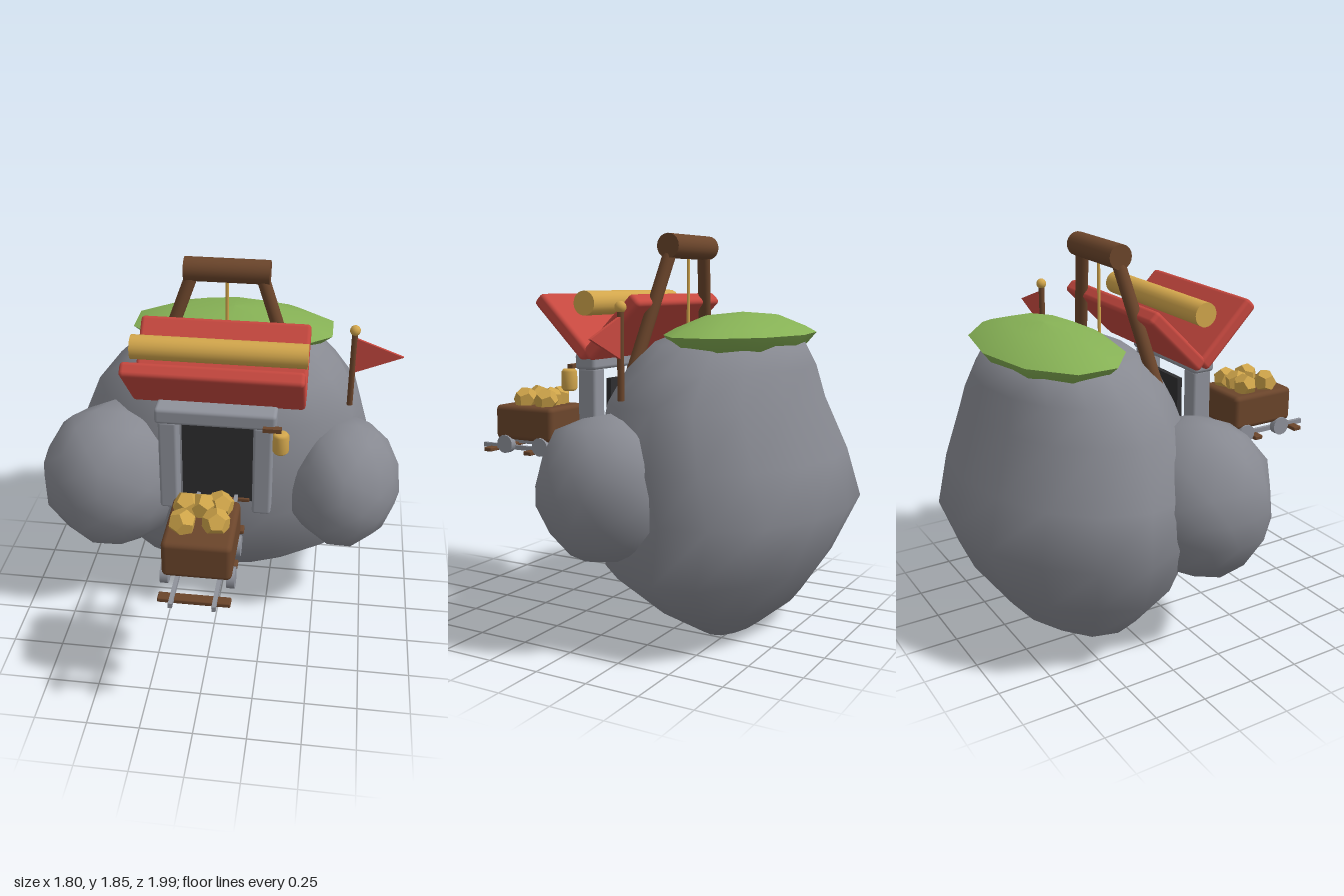
import * as THREE from 'three';
import { mergeVertices } from 'three/addons/utils/BufferGeometryUtils.js';
import { RoundedBoxGeometry } from 'three/addons/geometries/RoundedBoxGeometry.js';

const paint = (name, color, extra = {}) => {
  const m = new THREE.MeshStandardMaterial({ color, ...extra });
  m.name = name;
  return m;
};

export function createModel() {
  const model = new THREE.Group();
  model.name = 'mineRock';
  const rock = paint('rock grey', 0x878991);
  const stone = paint('stone grey', 0x8f929b);
  const wood = paint('wood brown', 0x6b452b);
  const gold = paint('gold', 0xd2a64c);
  const nuggetGold = paint('nugget gold', 0xcda349, { flatShading: true });
  const red = paint('red', 0xc6483f);
  const flagRed = paint('flag red', 0xc6483f, { side: THREE.DoubleSide });
  const green = paint('grass green', 0x86b155);
  const dark = paint('dark opening', 0x2e2e30);

  const add = (name, geo, mat, x = 0, y = 0, z = 0, parent = model) => {
    const mesh = new THREE.Mesh(geo, mat);
    mesh.name = name;
    mesh.position.set(x, y, z);
    parent.add(mesh);
    return mesh;
  };
  const rbox = (w, h, d, r) => new RoundedBoxGeometry(w, h, d, 2, r);
  // Round bar between two points
  const bar = (name, a, b, r, mat, sides = 14) => {
    const p = new THREE.Vector3(...a), q = new THREE.Vector3(...b);
    const mesh = add(name, new THREE.CylinderGeometry(r, r, p.distanceTo(q), sides), mat);
    mesh.position.copy(p).add(q).multiplyScalar(0.5);
    mesh.quaternion.setFromUnitVectors(new THREE.Vector3(0, 1, 0), q.sub(p).normalize());
    return mesh;
  };
  const bump = (a, b, c) => Math.sin(a * 5.1 + b * 3.7 + 1) * Math.sin(b * 4.3 - c * 5.9 + 2);

  // Main rock: elliptical rings [y, left, right, back, front] joined from bottom to top
  const rings = [
    [0.03, -0.02, 0.0, -0.45, -0.43], [0.01, -0.27, 0.24, -0.56, -0.32],
    [0.14, -0.53, 0.45, -0.72, -0.10], [0.36, -0.71, 0.73, -0.88, 0.09],
    [0.62, -0.83, 0.74, -0.99, 0.145], [0.85, -0.79, 0.74, -0.93, 0.145],
    [1.10, -0.67, 0.68, -0.83, 0.10], [1.25, -0.57, 0.57, -0.79, 0.02],
    [1.36, -0.45, 0.46, -0.74, -0.08], [1.43, -0.25, 0.27, -0.6, -0.25],
    [1.45, -0.01, 0.01, -0.44, -0.42],
  ];
  const sides = 16, pos = [], index = [];
  rings.forEach(([y, x0, x1, z0, z1], i) => {
    for (let j = 0; j < sides; j++) {
      const t = (j / sides) * Math.PI * 2, c = Math.cos(t), s = Math.sin(t);
      const k = 1 + 0.035 * bump(c, y * 2, s) * Math.abs(c);
      pos.push((x0 + x1) / 2 + (x1 - x0) / 2 * c * k, y, (z0 + z1) / 2 + (z1 - z0) / 2 * s * k);
      if (i === rings.length - 1) continue;
      const a = i * sides + j, b = i * sides + (j + 1) % sides;
      index.push(a, a + sides, b, b, a + sides, b + sides);
    }
  });
  const body = new THREE.BufferGeometry();
  body.setAttribute('position', new THREE.Float32BufferAttribute(pos, 3));
  body.setIndex(index);
  body.computeVertexNormals();
  add('mainRock', body, rock);

  // Side boulders
  const boulder = (name, x, y, z, rx, ry, rz) => {
    let g = new THREE.IcosahedronGeometry(1, 2);
    g.deleteAttribute('normal');
    g.deleteAttribute('uv');
    g = mergeVertices(g, 1e-4);
    const p = g.attributes.position;
    for (let i = 0; i < p.count; i++) {
      const k = 1 + 0.04 * bump(p.getX(i) + x, p.getY(i), p.getZ(i));
      p.setXYZ(i, p.getX(i) * rx * k, p.getY(i) * ry * k, p.getZ(i) * rz * k);
    }
    g.computeVertexNormals();
    add(name, g, rock, x, y, z);
  };
  boulder('rightBoulder', -0.55, 0.745, 0.0, 0.36, 0.375, 0.34);
  boulder('leftBoulder', 0.615, 0.735, -0.1, 0.285, 0.335, 0.325);

  // Grass cap: domed top and tapering underside
  const lathe = (pts, n) => new THREE.LatheGeometry(pts.map(p => new THREE.Vector2(...p)), n);
  const top = [[0.53, 1.40], [0.45, 1.43], [0.25, 1.485], [0, 1.5]];
  const under = [[0, 1.32], [0.43, 1.325], [0.53, 1.40]];
  for (const [name, pts] of [['grassTop', top], ['grassUnderside', under]]) {
    add(name, lathe(pts, 10), green, 0.01, 0, -0.475).scale.z = 0.575;
  }

  // Mine entrance
  for (const x of [-0.215, 0.23]) add('doorPillar', rbox(0.09, 0.48, 0.1, 0.015), stone, x, 0.99, 0.22);
  add('doorLintel', rbox(0.565, 0.08, 0.115, 0.018), stone, 0.008, 1.26, 0.22);
  add('darkOpening', new THREE.BoxGeometry(0.345, 0.425, 0.025), dark, 0.008, 0.963, 0.153);

  // V-shaped roof and its ridge roll
  const roof = rbox(0.81, 0.07, 0.38, 0.02);
  add('frontRoofPanel', roof, red, 0.01, 1.43, 0.265).rotation.x = -Math.PI / 4;
  add('backRoofPanel', roof, red, 0.01, 1.43, -0.005).rotation.x = Math.PI / 4;
  bar('roofRoll', [-0.395, 1.54, 0.135], [0.415, 1.54, 0.135], 0.057, gold, 20);

  // Hoist
  bar('hoistBeam', [-0.195, 1.8, -0.19], [0.21, 1.8, -0.19], 0.057, wood, 20);
  for (const s of [-1, 1]) {
    bar('hoistLeg', [0.008 + s * 0.165, 1.78, -0.185], [0.008 + s * 0.385, 1.17, -0.09], 0.031, wood);
  }
  bar('hoistRope', [0.008, 1.4, -0.19], [0.008, 1.78, -0.19], 0.008, gold, 8);

  // Flag
  bar('flagPole', [0.62, 1.13, -0.19], [0.62, 1.52, -0.19], 0.015, wood, 10);
  add('flagKnob', new THREE.SphereGeometry(0.026, 12, 8), gold, 0.62, 1.53, -0.19);
  const pennant = new THREE.Shape([[0.63, 1.31], [0.86, 1.405], [0.63, 1.49]].map(p => new THREE.Vector2(...p)));
  add('flag', new THREE.ExtrudeGeometry(pennant, { depth: 0.014, bevelEnabled: false }), flagRed, 0, 0, -0.197);

  // Lantern
  add('lanternBracket', new THREE.BoxGeometry(0.085, 0.02, 0.03), wood, 0.273, 1.237, 0.285);
  add('lantern', lathe([[0, -0.052], [0.028, -0.052], [0.038, -0.04], [0.038, 0.04], [0.028, 0.052], [0, 0.052]], 14),
    gold, 0.315, 1.173, 0.29);

  // Track
  for (const x of [-0.085, 0.1]) add('rail', new THREE.BoxGeometry(0.018, 0.024, 0.85), stone, x, 0.772, 0.575);
  for (const z of [0.15, 0.41, 0.67, 0.93]) add('railTie', rbox(0.315, 0.022, 0.048, 0.006), wood, 0.008, 0.757, z);

  // Ore cart
  const cart = new THREE.Group();
  cart.name = 'oreCart';
  cart.position.set(0.008, 0, 0.695);
  model.add(cart);
  add('cartBox', rbox(0.305, 0.18, 0.36, 0.025), wood, 0, 0.91, 0, cart);
  const wheel = new THREE.CylinderGeometry(0.048, 0.048, 0.035, 16).rotateZ(Math.PI / 2);
  for (const x of [-0.145, 0.145]) for (const z of [-0.11, 0.115]) add('cartWheel', wheel, stone, x, 0.797, z, cart);
  const nuggets = [[-0.075, -0.07], [0.07, -0.09], [0.0, -0.07], [-0.075, 0.06], [0.068, 0.04]];
  nuggets.forEach(([x, z], i) => {
    add('goldNugget', new THREE.DodecahedronGeometry(0.064), nuggetGold, x, 1.03, z, cart)
      .rotation.set(i * 1.3, i * 0.9, i * 0.5);
  });
  return model;
}
